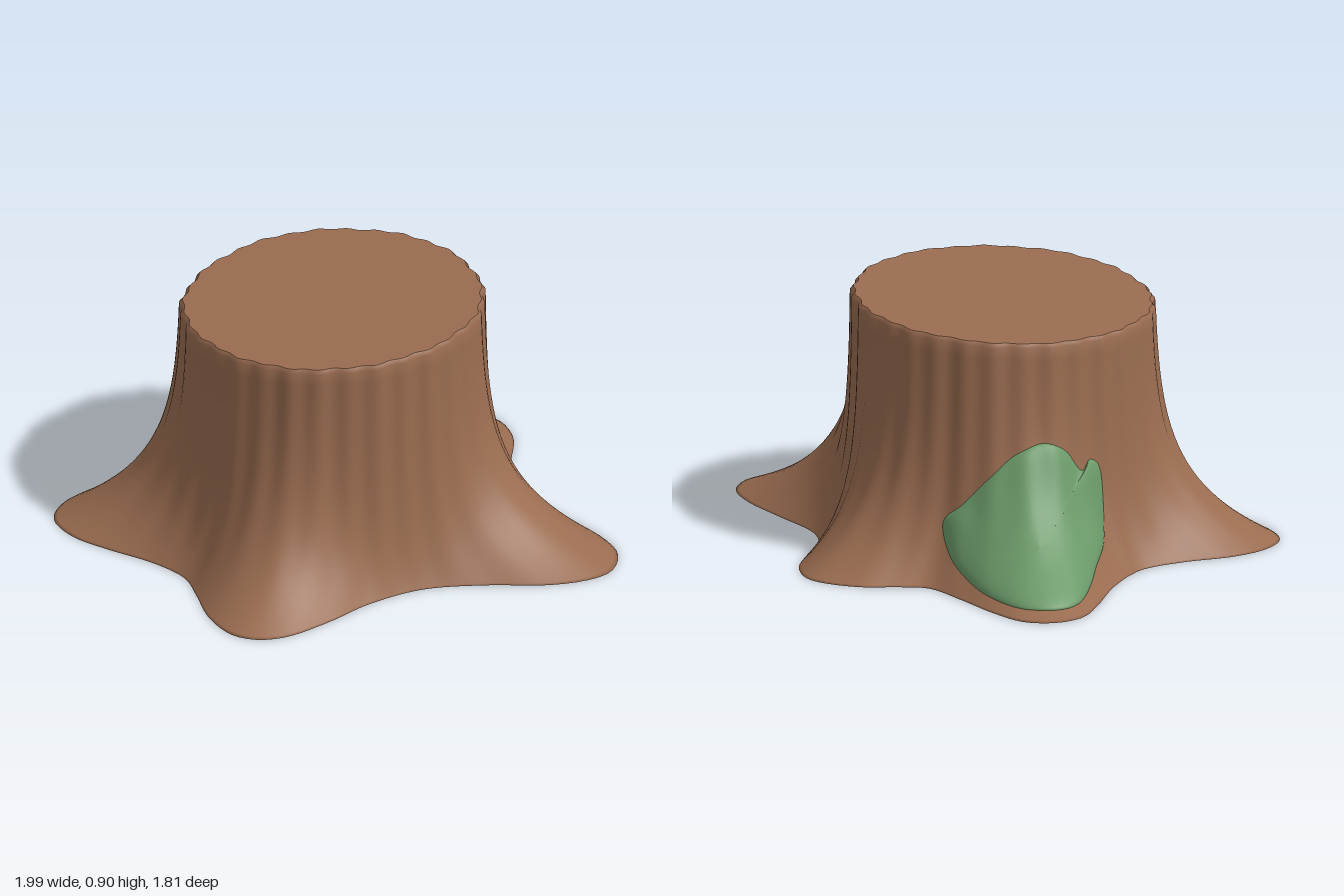
import * as THREE from 'three';

const CX = -0.035, CZ = -0.005, TOP_R = 0.535, SEG = 192;

// Closed smooth loop through [a, b] pairs
const loop = (pts) => new THREE.CatmullRomCurve3(
  pts.map(([a, b]) => new THREE.Vector3(a, b, 0)), true, 'centripetal');

// Ground outline of the five roots, as x, z
const outline = loop([
  [-0.03, -0.91], [0.1, -0.85], [0.2, -0.72], [0.28, -0.6], [0.38, -0.54], [0.6, -0.51],
  [0.8, -0.48], [0.93, -0.42], [0.995, -0.3], [0.97, -0.2], [0.88, -0.08], [0.72, 0.05],
  [0.56, 0.22], [0.48, 0.42], [0.45, 0.62], [0.4, 0.8], [0.33, 0.88], [0.24, 0.905],
  [0.1, 0.86], [-0.04, 0.76], [-0.15, 0.69], [-0.3, 0.675], [-0.5, 0.7], [-0.65, 0.705],
  [-0.78, 0.65], [-0.83, 0.54], [-0.82, 0.4], [-0.75, 0.22], [-0.72, 0.05], [-0.8, -0.15],
  [-0.92, -0.33], [-0.995, -0.47], [-0.98, -0.58], [-0.9, -0.66], [-0.75, -0.675],
  [-0.55, -0.66], [-0.38, -0.66], [-0.3, -0.73], [-0.2, -0.84],
]).getPoints(500).map((p) => ({
  a: Math.atan2(p.y - CZ, p.x - CX), r: Math.hypot(p.x - CX, p.y - CZ),
})).sort((p, q) => p.a - q.a);

// Outline radius in a given direction
function rootRadius(theta) {
  const a = Math.atan2(Math.sin(theta), Math.cos(theta));
  const i = outline.findIndex((p) => p.a >= a);
  if (i <= 0) return outline[0].r;
  const p = outline[i - 1], q = outline[i];
  return p.r + (q.r - p.r) * (a - p.a) / Math.max(q.a - p.a, 1e-6);
}

const topHeight = (x, z) => 0.875 + 0.046 * x - 0.018 * z;

// Bark surface: roots flare out exponentially towards the ground
function bark(theta, y, inset = 0) {
  const flare = Math.exp(-y / 0.2);
  const ripple = (0.005 * Math.cos(32 * theta) + 0.003 * Math.sin(13 * theta)) * (1 - flare);
  const r = TOP_R + (rootRadius(theta) - TOP_R) * flare + ripple - inset;
  return new THREE.Vector3(CX + r * Math.cos(theta), y, CZ + r * Math.sin(theta));
}

// Surface from rows of points, closed around the columns
function grid(rows, cols, point) {
  const pos = [], index = [];
  for (let j = 0; j <= rows; j++)
    for (let i = 0; i < cols; i++) pos.push(...point(i / cols, j).toArray());
  for (let j = 0; j < rows; j++)
    for (let i = 0; i < cols; i++) {
      const n = (i + 1) % cols, a = j * cols + i, b = j * cols + n;
      index.push(a, a + cols, b, b, a + cols, b + cols);
    }
  const g = new THREE.BufferGeometry();
  g.setAttribute('position', new THREE.Float32BufferAttribute(pos, 3));
  g.setIndex(index);
  g.computeVertexNormals();
  return g;
}

function rimHeight(theta) {
  return topHeight(CX + TOP_R * Math.cos(theta), CZ + TOP_R * Math.sin(theta));
}

// Underside and flared trunk wall in one smooth skin
function trunkGeometry() {
  const rows = 30;
  const g = grid(rows, SEG, (u, j) => {
    const theta = u * Math.PI * 2;
    if (j === 0) return new THREE.Vector3(CX, 0, CZ);
    const top = rimHeight(theta);
    if (j === rows) return bark(theta, top, 0.012);
    const t = (j - 1) / (rows - 2);
    return bark(theta, (top - 0.014) * Math.pow(t, 1.5));
  });
  // Soft edge where the roots meet the ground
  const n = g.attributes.normal, v = new THREE.Vector3();
  for (let i = SEG; i < 2 * SEG; i++) {
    v.fromBufferAttribute(n, i).setY(0).normalize();
    n.setXYZ(i, v.x, v.y, v.z);
  }
  return g;
}

// Slanted cut face
function cutGeometry() {
  return grid(4, SEG, (u, j) => {
    const theta = u * Math.PI * 2;
    const rim = bark(theta, rimHeight(theta), 0.012);
    return rim.lerp(new THREE.Vector3(CX, topHeight(CX, CZ), CZ), j / 4);
  });
}

// Moss patch: outline as degrees around the trunk / 100, and height
function mossGeometry() {
  const edge = loop([
    [0.03, 0.3], [0.04, 0.39], [0.08, 0.41], [0.12, 0.38], [0.18, 0.46], [0.26, 0.5],
    [0.36, 0.47], [0.46, 0.38], [0.55, 0.28], [0.62, 0.21], [0.58, 0.11], [0.5, 0.05],
    [0.43, 0.03], [0.33, 0.025], [0.27, 0.025], [0.21, 0.04], [0.15, 0.07], [0.07, 0.13],
  ]);
  const mid = new THREE.Vector3(0.32, 0.17, 0), rows = 16;
  return grid(rows, 96, (u, j) => {
    const k = Math.sin((j / rows) * Math.PI / 2);
    const p = edge.getPoint(u).lerp(mid, 1 - k);
    const theta = Math.PI + THREE.MathUtils.degToRad(p.x * 100);
    const lift = 0.04 * Math.sqrt(Math.max(0, 1 - k ** 4)) - 0.006
      + 0.004 * Math.sin(p.x * 25) * (1 - k);
    const out = new THREE.Vector3(Math.cos(theta), 0.6, Math.sin(theta)).normalize();
    return bark(theta, Math.max(p.y, 0.01)).addScaledVector(out, lift);
  });
}

export function createModel() {
  const wood = new THREE.MeshStandardMaterial({ color: 0x9a6c50 });
  wood.name = 'brown wood';
  const green = new THREE.MeshStandardMaterial({ color: 0x6b9a69 });
  green.name = 'green moss';

  const model = new THREE.Group();
  model.name = 'treeStump';
  const add = (name, geometry, material) => {
    const mesh = new THREE.Mesh(geometry, material);
    mesh.name = name;
    model.add(mesh);
  };
  add('trunkAndRoots', trunkGeometry(), wood);
  add('cutFace', cutGeometry(), wood);
  add('mossPatch', mossGeometry(), green);
  return model;
}
